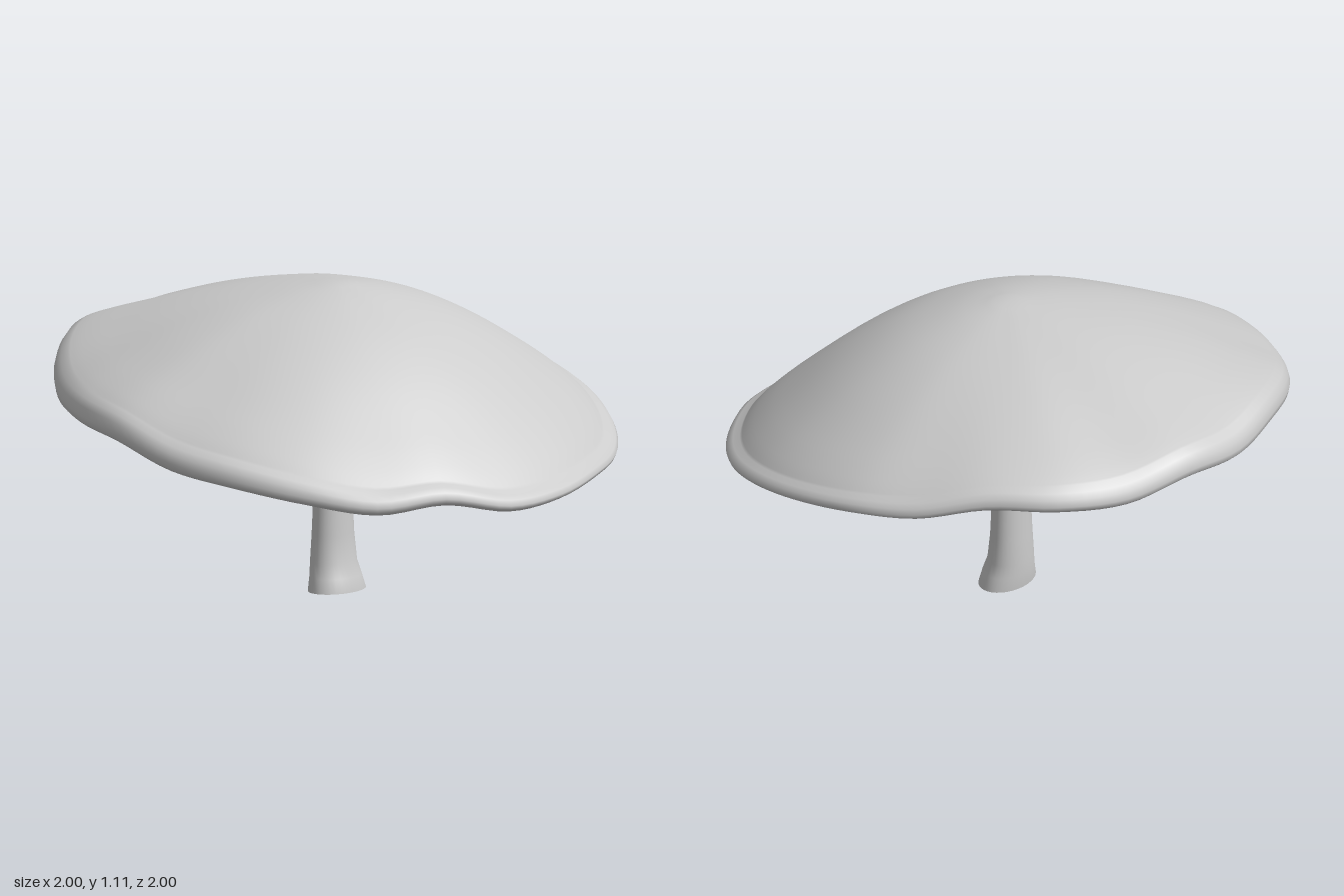
import * as THREE from 'three';

const SEG = 120;

// Smooth skin over closed rings listed from the top down, capped by two poles
function loft(rings, topPole, bottomPole) {
  const pos = [], idx = [];
  rings.forEach(ring => ring.forEach(p => pos.push(p.x, p.y, p.z)));
  const n = rings[0].length, top = rings.length * n, bottom = top + 1;
  pos.push(...topPole.toArray(), ...bottomPole.toArray());
  const last = (rings.length - 1) * n;
  for (let j = 0; j < n; j++) {
    const k = (j + 1) % n;
    idx.push(top, k, j, bottom, last + j, last + k);
    for (let i = 0; i < rings.length - 1; i++) {
      const a = i * n + j, b = i * n + k;
      idx.push(a, b, a + n, b, b + n, a + n);
    }
  }
  const g = new THREE.BufferGeometry();
  g.setAttribute('position', new THREE.Float32BufferAttribute(pos, 3));
  g.setIndex(idx);
  g.computeVertexNormals();
  return g;
}

// Sample a smooth [radius, value] profile more finely
function refine(points, count) {
  return new THREE.SplineCurve(points.map(p => new THREE.Vector2(...p))).getPoints(count);
}

// The cap leans: lower at the front and left
const tilt = (x, z) => -0.077 * x - 0.168 * z;

function createCap() {
  // Wavy rim heights every 15 degrees, from the left side (+x) round through the front
  const heights = [0.54, 0.495, 0.475, 0.44, 0.43, 0.475, 0.455, 0.495, 0.54, 0.58, 0.65, 0.675,
    0.705, 0.77, 0.81, 0.79, 0.81, 0.775, 0.785, 0.785, 0.73, 0.7, 0.655, 0.6];
  const dents = { 5: 0.98, 19: 0.97, 20: 0.985 };
  const rim = new THREE.CatmullRomCurve3(heights.map((y, i) => {
    const a = i / heights.length * Math.PI * 2, r = dents[i] ?? 0.998;
    return new THREE.Vector3(r * Math.cos(a), y, r * Math.sin(a));
  }), true, 'catmullrom', 0.5);
  const edge = Array.from({ length: SEG }, (_, j) => rim.getPoint(j / SEG));
  const ring = (s, height) => edge.map(p => new THREE.Vector3(p.x * s, height(p), p.z * s));

  const apex = 1.11, level = 0.627;
  // Scallops of the rim fade out towards the middle
  const wave = (p, s) => (p.y - level - tilt(p.x, p.z)) * s ** 3;
  // The rolled lip is deeper on the right side than on the left
  const depth = p => 0.085 - 0.03 * p.x;

  // Domed upper face: fraction of the drop from apex to shoulder
  const dome = refine([[0.05, 0.006], [0.2, 0.072], [0.4, 0.22], [0.6, 0.445],
    [0.8, 0.735], [0.9, 0.9], [0.95, 1]], 24);
  // Rolled lip: radius and fraction of the lip depth above the rim line
  const lip = [[0.975, 0.82], [0.992, 0.6], [1, 0.32], [0.996, 0.12], [0.983, 0.01], [0.967, 0], [0.95, 0.08]];
  // Hollow underside: straight outer band, then a nearly flat inner disc
  const hollow = refine([[0.93, 0.016], [0.85, 0.045], [0.75, 0.082], [0.65, 0.118], [0.58, 0.138],
    [0.52, 0.144], [0.4, 0.143], [0.25, 0.132], [0.1, 0.115]], 24);

  const rings = [
    ...dome.map(q => ring(q.x, p =>
      apex - (apex - depth(p) - level - tilt(p.x, p.z)) * q.y + wave(p, q.x))),
    ...lip.map(([s, f]) => ring(s, p => p.y + depth(p) * f)),
    ...hollow.map(q => ring(q.x, p => level + tilt(p.x * q.x, p.z * q.x) + q.y + wave(p, q.x))),
  ];
  return loft(rings, new THREE.Vector3(0, apex, 0), new THREE.Vector3(0, level + 0.11, 0));
}

function createStem() {
  // Sections from top to bottom: centre x, y, z, then radii along the two diagonals
  const sections = [
    [0.045, 0.79, 0.045, 0.085, 0.1], [0.036, 0.73, 0.036, 0.078, 0.095],
    [0.02, 0.67, 0.018, 0.066, 0.085], [0.002, 0.58, -0.008, 0.06, 0.083],
    [-0.008, 0.48, -0.02, 0.057, 0.08], [-0.008, 0.35, -0.021, 0.06, 0.083],
    [-0.008, 0.2, -0.02, 0.066, 0.09], [-0.006, 0.1, -0.019, 0.074, 0.098],
    [0, 0.05, -0.01, 0.082, 0.11], [0.004, 0, -0.005, 0.088, 0.126],
    [0.004, 0, -0.005, 0.083, 0.12],
  ];
  const rings = sections.map(([x, y, z, ru, rv]) => Array.from({ length: 32 }, (_, j) => {
    const a = j / 32 * Math.PI * 2;
    const u = ru * Math.cos(a) * Math.SQRT1_2, v = rv * Math.sin(a) * Math.SQRT1_2;
    return new THREE.Vector3(x + u - v, y, z + u + v);
  }));
  return loft(rings, new THREE.Vector3(0.045, 0.79, 0.045), new THREE.Vector3(0, 0, 0));
}

export function createModel() {
  const group = new THREE.Group();
  group.name = 'mushroom';
  const material = new THREE.MeshStandardMaterial({ color: 0xcccccc });
  const cap = new THREE.Mesh(createCap(), material);
  cap.name = 'cap';
  const stem = new THREE.Mesh(createStem(), material);
  stem.name = 'stem';
  group.add(cap, stem);
  return group;
}
